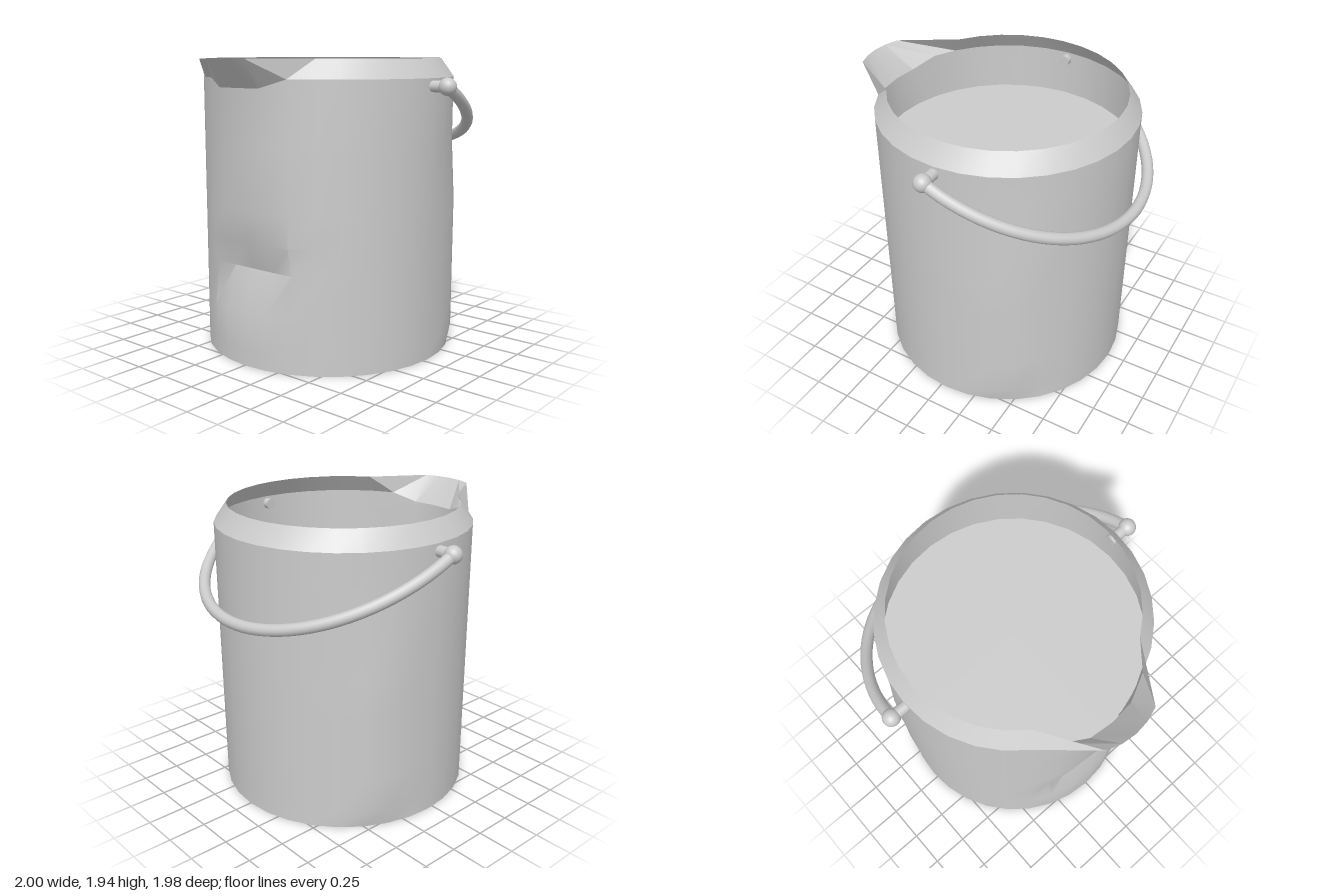
import * as THREE from 'three';
import { toCreasedNormals } from 'three/addons/utils/BufferGeometryUtils.js';

const SEG = 32, CZ = -0.04, R = 0.84;

// Side wall point at column i (0 = front) and height y, with a front dent and slight side bulges
function wallPoint(i, y) {
  const a = (i / SEG) * Math.PI * 2;
  const k = Math.min(i, SEG - i);
  const dent = 0.065 * Math.exp(-(((y - 0.62) / 0.2) ** 2));
  const bulge = (k === 10 || k === 11) && y > 0.05 && y < 1.1 ? 0.022 : 0;
  const r = R + bulge;
  const z = Math.min(r * Math.cos(a), R - 1.5 * dent) + CZ;
  return [r * Math.sin(a), y, z];
}

// Shoulder crease, dropping under the spout
function shoulderPoint(i) {
  const k = Math.min(i, SEG - i);
  const p = wallPoint(i, 1.82);
  if (k <= 1) { p[1] = 1.765; p[2] += 0.03; }
  return p;
}

// Top lip, drawn forward into the spout for the front five columns
function lipPoint(i) {
  const k = Math.min(i, SEG - i), s = i <= SEG / 2 ? 1 : -1;
  if (k <= 2) return [s * 0.095 * k, 1.94, [0.99, 0.98, 0.95][k]];
  const a = (i / SEG) * Math.PI * 2;
  return [0.755 * Math.sin(a), 1.94, 0.755 * Math.cos(a) + CZ];
}

// Join rings of points into a surface
function skin(rings) {
  const pos = rings.flat(2), index = [];
  for (let j = 0; j < rings.length - 1; j++) {
    for (let i = 0; i < SEG; i++) {
      const n = (i + 1) % SEG, a = j * SEG, b = a + SEG;
      index.push(a + i, a + n, b + n, a + i, b + n, b + i);
    }
  }
  const g = new THREE.BufferGeometry();
  g.setAttribute('position', new THREE.Float32BufferAttribute(pos, 3));
  g.setIndex(index);
  return toCreasedNormals(g, 0.45);
}

export function createModel() {
  const group = new THREE.Group();
  const solid = new THREE.MeshStandardMaterial({ color: 0xcccccc });
  const thin = new THREE.MeshStandardMaterial({ color: 0xcccccc, side: THREE.DoubleSide });
  const add = (name, geo, mat, x = 0, y = 0, z = 0) => {
    const m = new THREE.Mesh(geo, mat);
    m.name = name;
    m.position.set(x, y, z);
    group.add(m);
    return m;
  };
  const ring = (f) => Array.from({ length: SEG }, (_, i) => f(i));

  // Wall, shoulder and spout in one skin
  const rings = [0, 0.11, 0.35, 0.62, 0.8, 1, 1.4].map((y) => ring((i) => wallPoint(i, y)));
  add('bucketWall', skin([...rings, ring(shoulderPoint), ring(lipPoint)]), thin);

  // Base and the surface of the contents
  const disc = (r) => new THREE.CircleGeometry(r, SEG).rotateX(-Math.PI / 2);
  add('base', disc(R), thin, 0, 0, CZ);
  add('contentsSurface', disc(0.835), thin, 0, 1.51, CZ);

  // Handle pivots
  for (const s of [-1, 1]) {
    const pin = new THREE.CylinderGeometry(0.036, 0.036, 0.15, 16).rotateZ(Math.PI / 2);
    add('handlePin', pin, solid, s * 0.87, 1.77, -0.035);
    add('handleKnob', new THREE.SphereGeometry(0.056, 20, 14), solid, s * 0.945, 1.77, -0.035);
  }

  // Bail handle hanging down behind
  const arc = [];
  for (let i = 0; i <= 24; i++) {
    const a = (i / 24) * Math.PI, s = Math.sin(a);
    arc.push(new THREE.Vector3(0.945 * Math.cos(a), 1.77 - 0.45 * s, -0.035 - 0.92 * s));
  }
  add('handle', new THREE.TubeGeometry(new THREE.CatmullRomCurve3(arc), 48, 0.038, 12), solid);

  return group;
}
